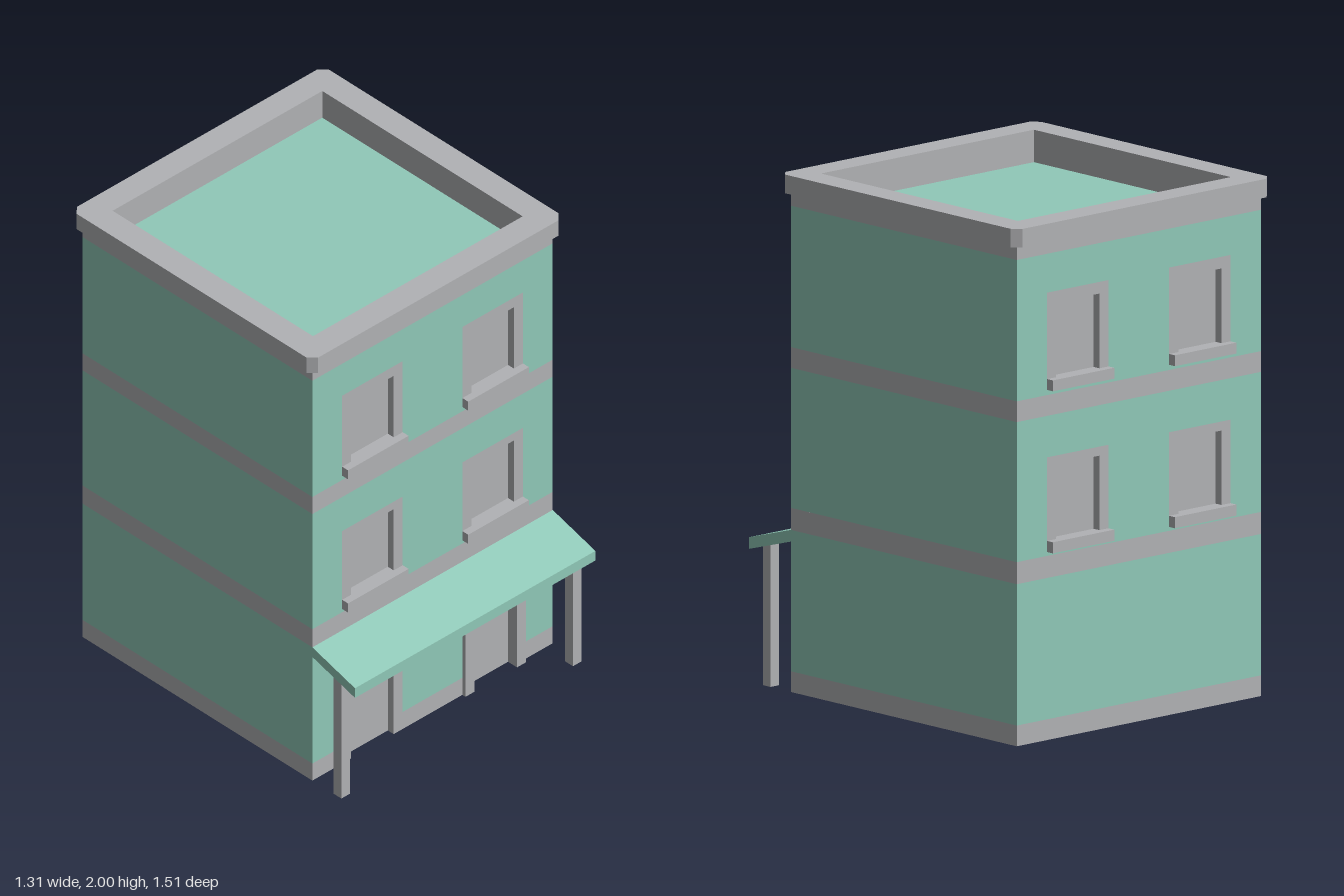
import * as THREE from 'three';

const wallMat = new THREE.MeshStandardMaterial({ color: 0x90c9b8 });
wallMat.name = 'mint wall';
const trimMat = new THREE.MeshStandardMaterial({ color: 0xb1b2b5 });
trimMat.name = 'grey trim';

const HALF = 0.625;    // half width of the square tower
const RECESS = 0.035;  // depth of window and door reveals
const CORE = HALF - RECESS;
const BAYS = [[-0.47, -0.155], [0.155, 0.47]];
const JAMB = 0.047;

function add(parent, name, geometry, material) {
  const mesh = new THREE.Mesh(geometry, material);
  mesh.name = name;
  parent.add(mesh);
  return mesh;
}

// Box given by its limits on each axis
function box(parent, name, material, x0, x1, y0, y1, z0, z1) {
  const g = new THREE.BoxGeometry(x1 - x0, y1 - y0, z1 - z0);
  g.translate((x0 + x1) / 2, (y0 + y1) / 2, (z0 + z1) / 2);
  return add(parent, name, g, material);
}

const points = (list) => list.map(([x, y]) => new THREE.Vector2(x, y));
const rect = (x0, x1, y0, y1) => points([[x0, y0], [x1, y0], [x1, y1], [x0, y1]]);

// Flat plate in the xy plane, extruded from z0 to z1
function plate(outline, holes, z0, z1) {
  const shape = new THREE.Shape(outline);
  holes.forEach((h) => shape.holes.push(new THREE.Path(h)));
  const g = new THREE.ExtrudeGeometry(shape, { depth: z1 - z0, bevelEnabled: false });
  return g.translate(0, 0, z0);
}

// One storey facade with two recessed windows
function windowFacade(parent, y0, y1, sillY, sillTop, headY, surroundTop) {
  const holes = BAYS.map(([a, b]) => rect(a, b, sillY, surroundTop));
  add(parent, 'facadeWall', plate(rect(-HALF, HALF, y0, y1), holes, CORE, HALF), wallMat);
  for (const [a, b] of BAYS) {
    const opening = rect(a + JAMB, b - JAMB, sillTop, headY);
    add(parent, 'windowSurround', plate(rect(a, b, sillY, surroundTop), [opening], CORE, HALF), trimMat);
    box(parent, 'windowPane', trimMat, a + JAMB, b - JAMB, sillTop, headY, CORE, CORE + 0.003);
    box(parent, 'windowSill', trimMat, a, b, sillY, sillTop, HALF - 0.01, 0.657);
  }
}

// Ground storey facade with two doors; the one on +x has a raised surround
function doorFacade(parent) {
  const base = 0.08, top = 0.625, head = 0.43, surround = 0.472;
  const outline = [[-HALF, base]];
  for (const [a, b] of BAYS) outline.push([a, base], [a, surround], [b, surround], [b, base]);
  outline.push([HALF, base], [HALF, top], [-HALF, top]);
  add(parent, 'facadeWall', plate(points(outline), [], CORE, HALF), wallMat);

  const piers = [[-HALF, BAYS[0][0]], [BAYS[0][1], BAYS[1][0]], [BAYS[1][1], HALF]];
  for (const [a, b] of piers) box(parent, 'facadePlinth', trimMat, a, b, 0, base, CORE, HALF);

  BAYS.forEach(([a, b], i) => {
    const l = a + JAMB, r = b - JAMB;
    const arch = points([[a, 0], [l, 0], [l, head], [r, head], [r, 0], [b, 0], [b, surround], [a, surround]]);
    add(parent, 'doorSurround', plate(arch, [], CORE, HALF + (i ? 0.017 : 0)), trimMat);
    box(parent, 'door', trimMat, l, r, 0, head, CORE, CORE + 0.003);
  });
}

export function createModel() {
  const model = new THREE.Group();
  model.name = 'townHouse';
  const tower = new THREE.Group();
  tower.name = 'tower';
  tower.position.z = -0.1;
  model.add(tower);

  const front = new THREE.Group();
  front.name = 'frontFacade';
  const back = new THREE.Group();
  back.name = 'backFacade';
  back.rotation.y = Math.PI;
  tower.add(front, back);

  // Storey cores
  box(tower, 'groundStorey', wallMat, -HALF, HALF, 0.08, 0.625, -HALF, CORE);
  box(tower, 'middleStorey', wallMat, -HALF, HALF, 0.71, 1.25, -CORE, CORE);
  box(tower, 'topStorey', wallMat, -HALF, HALF, 1.33, 1.875, -CORE, CORE);

  // Plinth and floor bands
  box(tower, 'plinth', trimMat, -HALF, HALF, 0, 0.08, -HALF, CORE);
  box(tower, 'lowerBand', trimMat, -HALF, HALF, 0.625, 0.71, -HALF, HALF);
  box(tower, 'upperBand', trimMat, -HALF, HALF, 1.25, 1.33, -HALF, HALF);

  // Facades
  doorFacade(front);
  for (const side of [front, back]) {
    windowFacade(side, 0.71, 1.25, 0.725, 0.768, 1.055, 1.09);
    windowFacade(side, 1.33, 1.875, 1.35, 1.392, 1.68, 1.725);
  }

  // Parapet around the sunken roof, capped by a cornice with cut corners
  const well = rect(-0.545, 0.545, -0.545, 0.545);
  const parapet = plate(rect(-HALF, HALF, -HALF, HALF), [well], 0, 0.055);
  add(tower, 'parapet', parapet.rotateX(-Math.PI / 2).translate(0, 1.875, 0), trimMat);
  const o = 0.656, c = HALF;
  const capOutline = points([[-c, -o], [c, -o], [o, -c], [o, c], [c, o], [-c, o], [-o, c], [-o, -c]]);
  const cap = plate(capOutline, [well], 0, 0.072);
  add(tower, 'cornice', cap.rotateX(-Math.PI / 2).translate(0, 1.928, 0), trimMat);

  // Sloping awning: side profile (z, y) extruded across the width
  const profile = points([[0.525, 0.58], [0.757, 0.513], [0.757, 0.558], [0.525, 0.625]]);
  const awning = plate(profile, [], -HALF, HALF).rotateY(-Math.PI / 2);
  add(model, 'awning', awning, wallMat);

  // Awning posts
  for (const s of [-1, 1]) {
    const x = s * 0.602;
    box(model, 'awningPost', trimMat, x - 0.022, x + 0.022, 0, 0.55, 0.64, 0.682);
  }
  return model;
}
